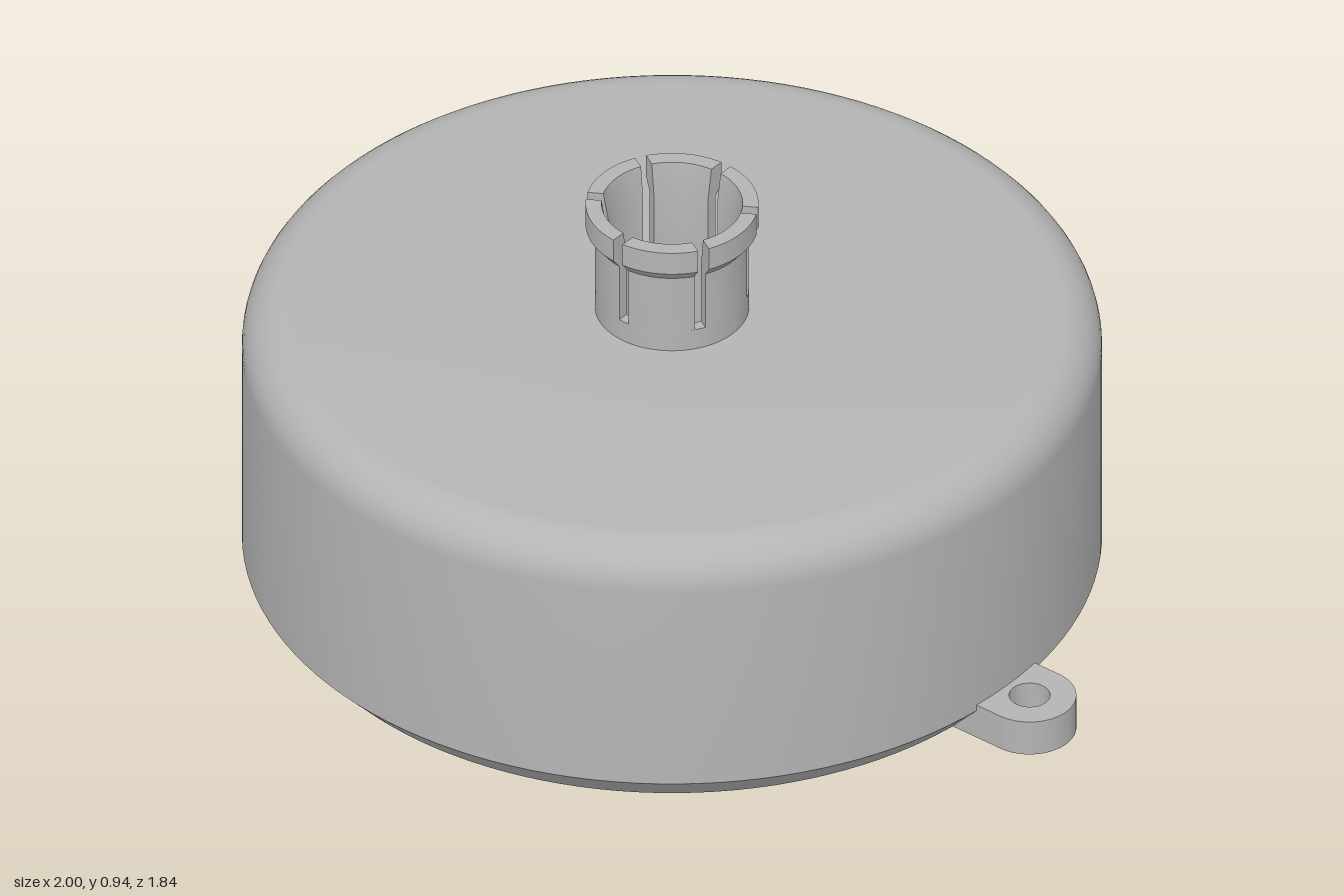
import * as THREE from 'three';
import { toCreasedNormals } from 'three/addons/utils/BufferGeometryUtils.js';

const CREASE = 0.5;
const BORE = 0.14;
const SLOT_BASE = 0.72;
const vec = (pairs) => pairs.map(([x, y]) => new THREE.Vector2(x, y));

// Round drum with chamfered base, filleted top, hub stub and a through bore
function bodyGeometry() {
  const outline = [[BORE, 0], [0.855, 0], [0.92, 0.07]];
  for (let i = 0; i <= 10; i++) {
    const a = (i / 10) * Math.PI / 2;
    outline.push([0.82 + 0.1 * Math.cos(a), 0.57 + 0.1 * Math.sin(a)]);
  }
  outline.push([0.165, 0.67], [0.165, SLOT_BASE], [BORE, SLOT_BASE], [BORE, 0]);
  return toCreasedNormals(new THREE.LatheGeometry(vec(outline), 128), CREASE);
}

// One spring finger: a swept section whose two ends are parallel to the slots
function fingerGeometry(start, end, halfSlot) {
  const section = vec([
    [BORE, SLOT_BASE], [0.165, SLOT_BASE], [0.165, 0.86], [0.185, 0.885],
    [0.185, 0.94], [0.151, 0.94], [BORE, 0.87],
  ]);
  const n = section.length, steps = 16;
  const positions = [], index = [];
  for (let j = 0; j <= steps; j++) {
    for (const p of section) {
      const trim = Math.asin(halfSlot / p.x);
      const a = THREE.MathUtils.lerp(start + trim, end - trim, j / steps);
      positions.push(p.x * Math.sin(a), p.y, p.x * Math.cos(a));
    }
  }
  for (let j = 0; j < steps; j++) {
    for (let i = 0; i < n; i++) {
      const k = (i + 1) % n;
      const a = j * n + i, b = a + n, c = (j + 1) * n + k, d = j * n + k;
      index.push(a, b, d, c, d, b);
    }
  }
  const last = steps * n;
  for (const [a, b, c] of THREE.ShapeUtils.triangulateShape(section, [])) {
    index.push(a, b, c, last + a, last + c, last + b);
  }
  const geometry = new THREE.BufferGeometry();
  geometry.setAttribute('position', new THREE.Float32BufferAttribute(positions, 3));
  geometry.setIndex(index);
  return toCreasedNormals(geometry, CREASE);
}

// Rounded mounting lug with a screw hole
function lugGeometry() {
  const shape = new THREE.Shape();
  shape.moveTo(0.769, -0.1);
  shape.lineTo(0.9, -0.1);
  shape.absarc(0.9, 0, 0.1, -Math.PI / 2, Math.PI / 2, false);
  shape.lineTo(0.769, 0.1);
  shape.closePath();
  const hole = new THREE.Path();
  hole.absarc(0.9, 0, 0.044, 0, Math.PI * 2, true);
  shape.holes.push(hole);
  const geometry = new THREE.ExtrudeGeometry(shape, { depth: 0.085, bevelEnabled: false, curveSegments: 24 });
  geometry.rotateX(-Math.PI / 2);
  return toCreasedNormals(geometry, CREASE);
}

export function createModel() {
  const grey = new THREE.MeshStandardMaterial({ color: 0xb4b4b4 });
  grey.name = 'grey plastic';
  const model = new THREE.Group();
  model.name = 'snapFitDrum';

  const drum = new THREE.Group();
  drum.name = 'drum';
  drum.position.x = -0.08;
  model.add(drum);

  const add = (parent, name, geometry) => {
    const mesh = new THREE.Mesh(geometry, grey);
    mesh.name = name;
    parent.add(mesh);
    return mesh;
  };

  add(drum, 'body', bodyGeometry());

  // Six fingers around the hub, separated by narrow slots
  const hub = new THREE.Group();
  hub.name = 'snapHub';
  drum.add(hub);
  const finger = fingerGeometry(0, Math.PI / 3, 0.0125);
  for (let i = 0; i < 6; i++) {
    add(hub, `finger${i + 1}`, finger).rotation.y = i * Math.PI / 3;
  }

  add(model, 'mountingLug', lugGeometry());
  return model;
}
